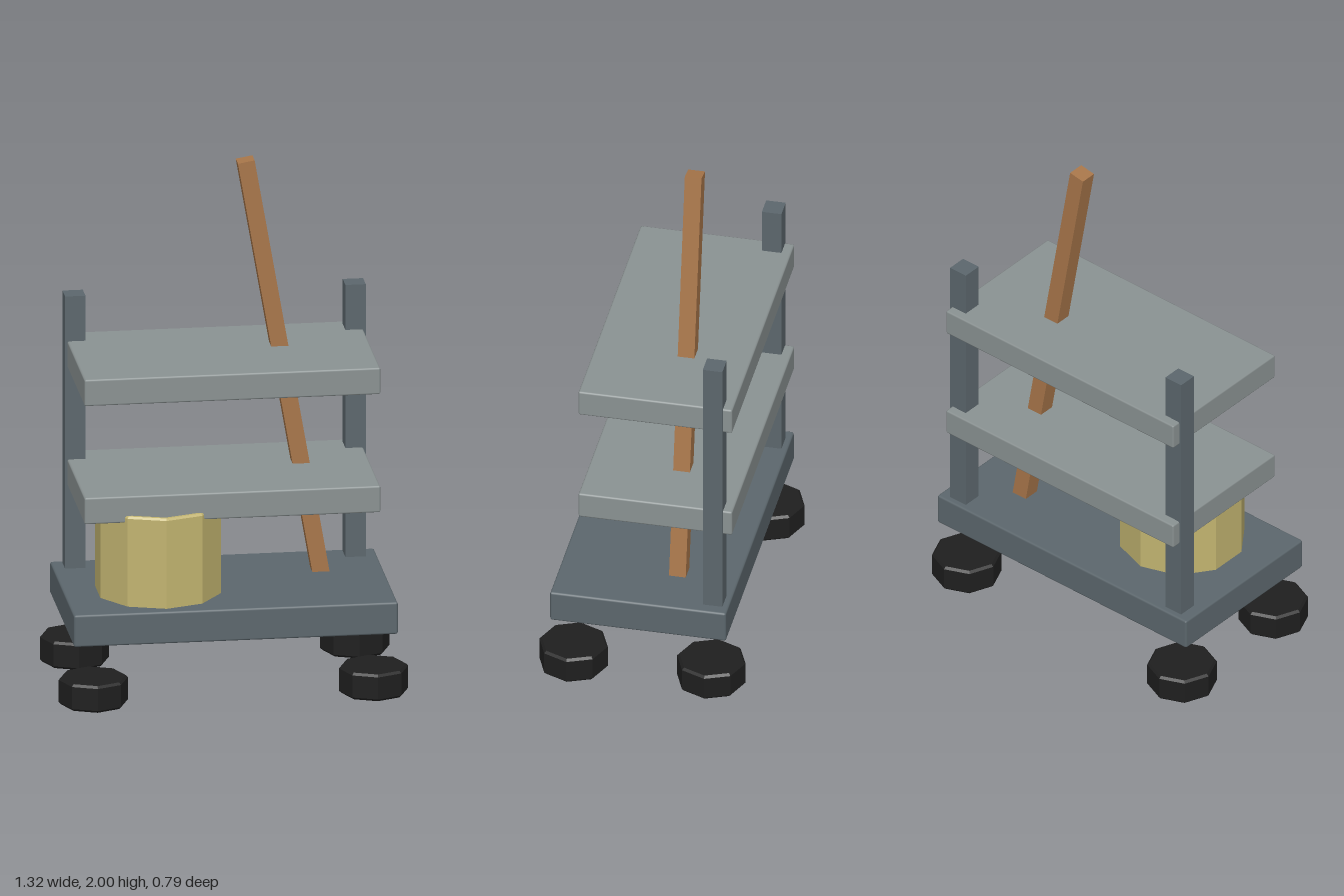
import * as THREE from 'three';
import { RoundedBoxGeometry } from 'three/addons/geometries/RoundedBoxGeometry.js';

const material = (name, color, flatShading = false) => {
  const m = new THREE.MeshStandardMaterial({ color, flatShading });
  m.name = name;
  return m;
};

export function createModel() {
  const steel = material('dark steel', 0x5c676d);
  const tray = material('grey tray', 0x8a9292);
  const rubber = material('black rubber', 0x1f1f1f, true);
  const tan = material('yellow bucket', 0xc2b470, true);
  const wood = material('brown wood', 0xa8764a);

  const cart = new THREE.Group();
  cart.name = 'utilityCart';

  const add = (name, geometry, mat, x, y, z) => {
    const mesh = new THREE.Mesh(geometry, mat);
    mesh.name = name;
    mesh.position.set(x, y, z);
    cart.add(mesh);
    return mesh;
  };
  const lathe = (profile, sides) =>
    new THREE.LatheGeometry(profile.map(([r, y]) => new THREE.Vector2(r, y)), sides);

  // Base deck and two shelves with narrow bevelled edges
  add('deck', new RoundedBoxGeometry(1.226, 0.125, 0.675, 1, 0.008), steel, 0, 0.307, 0);
  for (const [name, y] of [['lowerShelf', 0.747], ['upperShelf', 1.212]]) {
    add(name, new RoundedBoxGeometry(1.12, 0.104, 0.59, 1, 0.007), tray, 0, y, -0.055);
  }

  // Rear posts and eight-sided wheels, mirrored left and right
  const postGeometry = new THREE.BoxGeometry(0.077, 1.21, 0.075);
  const wheelGeometry = lathe(
    [[0, 0], [0.122, 0], [0.131, 0.009], [0.131, 0.096], [0.122, 0.105], [0, 0.105]], 8);
  for (const [side, s] of [['left', 1], ['right', -1]]) {
    add(side + 'Post', postGeometry, steel, s * 0.53, 0.836, -0.277);
    add(side + 'FrontWheel', wheelGeometry, rubber, s * 0.53, 0, 0.264);
    add(side + 'RearWheel', wheelGeometry, rubber, s * 0.53, 0, -0.264);
  }

  // Ten-sided bucket with a slightly dished top
  add('bucket', lathe(
    [[0, 0], [0.24, 0], [0.24, 0.348], [0.234, 0.356], [0.222, 0.356], [0.18, 0.342], [0, 0.335]], 10),
  tan, -0.257, 0.367, 0.058);

  // Leaning broom handle passing through both shelves
  const handle = add('handle', new THREE.BoxGeometry(0.064, 1.815, 0.064), wood, 0.25, 1.1, -0.108);
  handle.rotation.z = 0.172;

  return cart;
}
